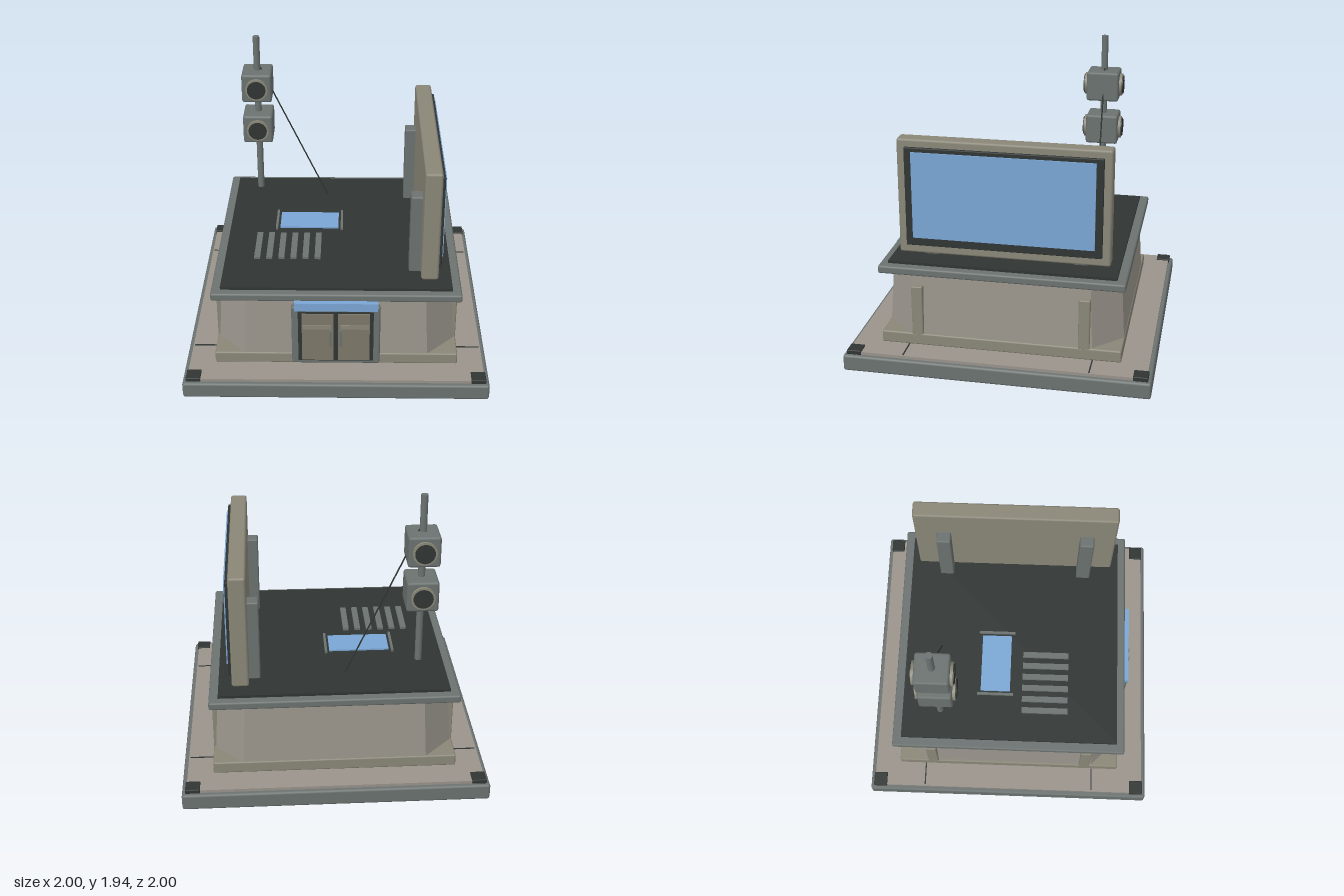
import * as THREE from 'three';
import { RoundedBoxGeometry } from 'three/addons/geometries/RoundedBoxGeometry.js';

const paint = (color) => new THREE.MeshStandardMaterial({ color });

export function createModel() {
  const model = new THREE.Group();
  const steel = paint(0x6b7270), dark = paint(0x303533), paving = paint(0x9a938b);
  const wall = paint(0x9a958c), trim = paint(0x8a8778), panel = paint(0x7d7868), blue = paint(0x7aa6d4);

  const add = (name, geometry, material) => {
    const mesh = new THREE.Mesh(geometry, material);
    mesh.name = name;
    model.add(mesh);
    return mesh;
  };
  // Box given by its limits on each axis, with optional chamfered edges
  const box = (name, material, [x0, x1], [y0, y1], [z0, z1], bevel = 0) => {
    const size = [x1 - x0, y1 - y0, z1 - z0];
    const geometry = bevel ? new RoundedBoxGeometry(...size, 1, bevel) : new THREE.BoxGeometry(...size);
    const mesh = add(name, geometry, material);
    mesh.position.set((x0 + x1) / 2, (y0 + y1) / 2, (z0 + z1) / 2);
    return mesh;
  };
  const around = (c, w) => [c - w / 2, c + w / 2];

  // Ground slab with paving, corner pads and paving seams
  box('baseSlab', steel, [-1, 1], [0, 0.11], [-1, 1], 0.015);
  box('paving', paving, [-0.97, 0.97], [0.1, 0.13], [-0.97, 0.97]);
  for (const sx of [-1, 1]) for (const sz of [-1, 1]) {
    box('cornerPad', dark, around(sx * 0.93, 0.095), [0.11, 0.14], around(sz * 0.93, 0.095), 0.005);
    box('pavingSeam', dark, around(sx * 0.88, 0.16), [0.125, 0.134], around(sz * 0.605, 0.008));
  }

  // Plinth and tapered walls with cut corners
  box('plinth', trim, [-0.8, 0.8], [0.13, 0.21], [-0.79, 0.79], 0.01);
  const a = 0.785, b = 0.6;
  const outline = new THREE.Shape([[b, -a], [a, -b], [a, b], [b, a], [-b, a], [-a, b], [-a, -b], [-b, -a]]
    .map(([x, y]) => new THREE.Vector2(x, y)));
  const walls = new THREE.ExtrudeGeometry(outline, { depth: 0.43, bevelEnabled: false });
  walls.rotateX(-Math.PI / 2);
  const p = walls.attributes.position;
  for (let i = 0; i < p.count; i++) {
    const k = 1 - 0.035 * p.getY(i) / 0.43;
    p.setXYZ(i, p.getX(i) * k, p.getY(i), p.getZ(i) * k);
  }
  walls.computeVertexNormals();
  add('walls', walls, wall).position.y = 0.21;
  for (const sx of [-1, 1]) for (const sz of [-1, 1])
    box('pilaster', trim, around(sx * 0.775, 0.05), [0.2, 0.545], around(sz * 0.547, 0.075), 0.008);

  // Roof
  box('roofSlab', steel, [-0.81, 0.81], [0.625, 0.677], [-0.805, 0.8], 0.012);
  box('roofDeck', dark, [-0.75, 0.75], [0.67, 0.695], [-0.745, 0.745]);

  // Double door with awning
  box('doorFrame', steel, [-0.29, 0.287], [0.15, 0.595], [0.77, 0.82], 0.012);
  box('doorRecess', dark, [-0.247, 0.243], [0.18, 0.562], [0.8, 0.828]);
  for (const s of [-1, 1]) {
    box('doorPanel', panel, around(s * 0.118 - 0.002, 0.205), [0.19, 0.552], [0.81, 0.836]);
    box('doorCrossbar', trim, around(s * 0.122 - 0.002, 0.185), [0.44, 0.47], [0.83, 0.843]);
    box('doorHandle', steel, around(s * 0.032 - 0.002, 0.016), [0.31, 0.435], [0.83, 0.856]);
  }
  box('doorAwning', blue, [-0.27, 0.27], [0.573, 0.632], [0.79, 0.832]);

  // Side screen on two posts
  for (const s of [-1, 1])
    box('screenPost', steel, [0.475, 0.592], [0.69, 1.25], around(s * 0.49, 0.097), 0.01);
  box('screenCabinet', trim, [0.548, 0.66], [0.725, 1.497], [-0.69, 0.69], 0.015);
  box('screenBezel', dark, [0.65, 0.68], [0.785, 1.447], [-0.637, 0.637], 0.005);
  box('screenFace', blue, [0.67, 0.69], [0.842, 1.42], [-0.59, 0.59]);

  // Roof hatch and vent slats
  box('skylight', blue, [-0.402, 0.005], [0.69, 0.706], [-0.21, -0.005]);
  for (const x of [-0.425, 0.028])
    box('skylightRail', steel, around(x, 0.016), [0.69, 0.712], [-0.235, 0.018]);
  for (let i = 0; i < 6; i++)
    box('ventSlat', steel, around(-0.535 + i * 0.081, 0.04), [0.69, 0.711], [0.08, 0.4]);

  // Mast with two double-faced lamps
  const px = -0.567, pz = -0.477;
  add('mast', new THREE.CylinderGeometry(0.023, 0.023, 1.165, 12), steel).position.set(px, 1.3575, pz);
  for (const y of [1.593, 1.282]) {
    box('lampHousing', steel, around(px, 0.207), around(y, 0.205), around(pz, 0.225), 0.016);
    for (const s of [-1, 1]) {
      const rim = add('lampRim', new THREE.CylinderGeometry(0.077, 0.077, 0.03, 24), trim);
      const lens = add('lampLens', new THREE.CylinderGeometry(0.064, 0.064, 0.03, 24), dark);
      rim.rotation.x = lens.rotation.x = Math.PI / 2;
      rim.position.set(px, y, pz + s * 0.116);
      lens.position.set(px, y, pz + s * 0.124);
    }
  }

  // Cable from the mast down to the roof
  const cable = new THREE.LineCurve3(new THREE.Vector3(-0.545, 1.71, -0.48), new THREE.Vector3(-0.08, 0.695, -0.497));
  add('cable', new THREE.TubeGeometry(cable, 1, 0.005, 6), dark);

  return model;
}
